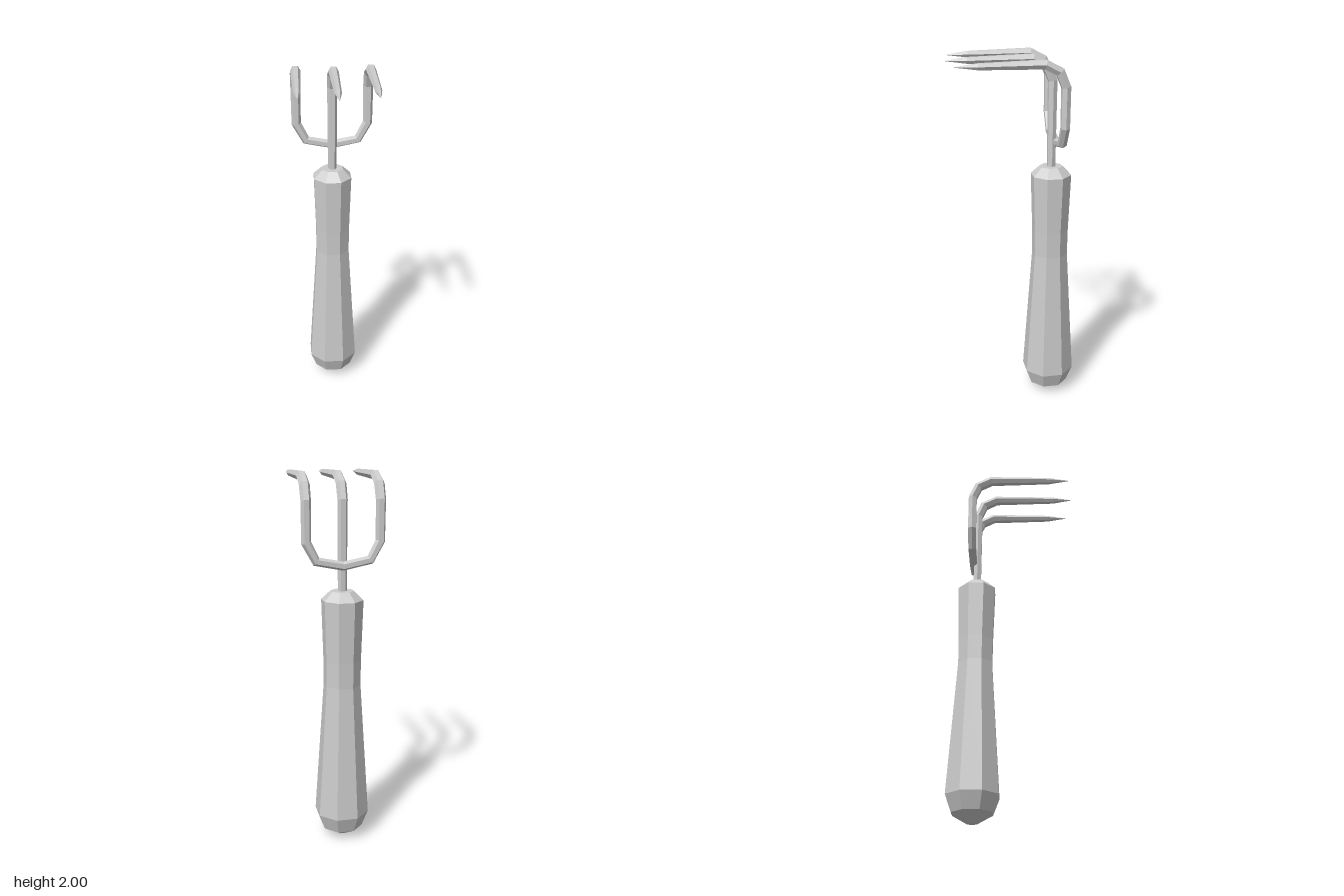
import * as THREE from 'three';

const V = (x, y, z) => new THREE.Vector3(x, y, z);
const STEM_Z = -0.218;

// Sweeps a hexagon of varying radius along a polyline of [x, y, z, radius]
function sweep(points, startDir) {
  const sides = 6;
  const p = points.map(a => V(a[0], a[1], a[2]));
  const pos = [], idx = [];
  p.forEach((c, i) => {
    const t = V(0, 0, 0);
    if (i > 0) t.add(c.clone().sub(p[i - 1]).normalize());
    if (i < p.length - 1) t.add(p[i + 1].clone().sub(c).normalize());
    if (i === 0) t.copy(startDir);
    t.normalize();
    // Within the upright plane the section turns with the path; tines keep x sideways
    const u = Math.abs(t.z) < 0.01 ? t.clone().cross(V(0, 0, 1)).normalize() : V(1, 0, 0);
    const v = t.clone().cross(u);
    for (let j = 0; j < sides; j++) {
      const a = j / sides * Math.PI * 2, r = points[i][3];
      const q = c.clone().addScaledVector(u, Math.cos(a) * r).addScaledVector(v, Math.sin(a) * r);
      pos.push(q.x, q.y, q.z);
    }
    if (i === 0) return;
    for (let j = 0; j < sides; j++) {
      const a = (i - 1) * sides + j, b = (i - 1) * sides + (j + 1) % sides;
      idx.push(a, b, b + sides, a, b + sides, a + sides);
    }
  });
  const g = new THREE.BufferGeometry();
  g.setAttribute('position', new THREE.Float32BufferAttribute(pos, 3));
  g.setIndex(idx);
  g.computeVertexNormals();
  return g;
}

// Bend at the top of a stem and the forward tapering tine
function tine(x, z, taper, tip) {
  return [
    [x, 1.86, z, 0.027],
    [x, 1.938, z + 0.033, 0.028],
    [x, 1.977, z + 0.107, 0.027],
    [x, 1.976, taper, 0.0185],
    [x, 1.976, tip, 0.0005],
  ];
}

export function createModel() {
  const group = new THREE.Group();
  const grey = new THREE.MeshStandardMaterial({ color: 0xcccccc });
  grey.name = 'light grey';
  grey.flatShading = true;

  const add = (name, geometry) => {
    const m = new THREE.Mesh(geometry, grey);
    m.name = name;
    group.add(m);
    return m;
  };

  // Eight-sided handle, widths measured across the flats
  const profile = [
    [0, 0], [0.028, 0], [0.106, 0.05], [0.138, 0.14], [0.093, 0.88],
    [0.094, 1.02], [0.104, 1.345], [0.058, 1.392], [0, 1.392],
  ].map(([r, y]) => new THREE.Vector2(r / Math.cos(Math.PI / 8), y));
  const handle = add('handle', new THREE.LatheGeometry(profile, 8, Math.PI / 8));
  handle.position.z = STEM_Z;

  // Middle prong rises straight from the handle
  add('middleProng', sweep(
    [[0, 1.37, STEM_Z, 0.024], ...tine(0, STEM_Z, 0.235, 0.348)], V(0, 1, 0)));

  // Outer prongs branch off behind the middle one
  for (const s of [1, -1]) {
    const z = -0.242;
    add(s > 0 ? 'leftProng' : 'rightProng', sweep([
      [0, 1.525, z, 0.024],
      [s * 0.143, 1.553, z, 0.025],
      [s * 0.195, 1.65, z, 0.026],
      ...tine(s * 0.195, z, 0.205, 0.325),
    ], V(s, 0, 0)));
  }
  return group;
}
